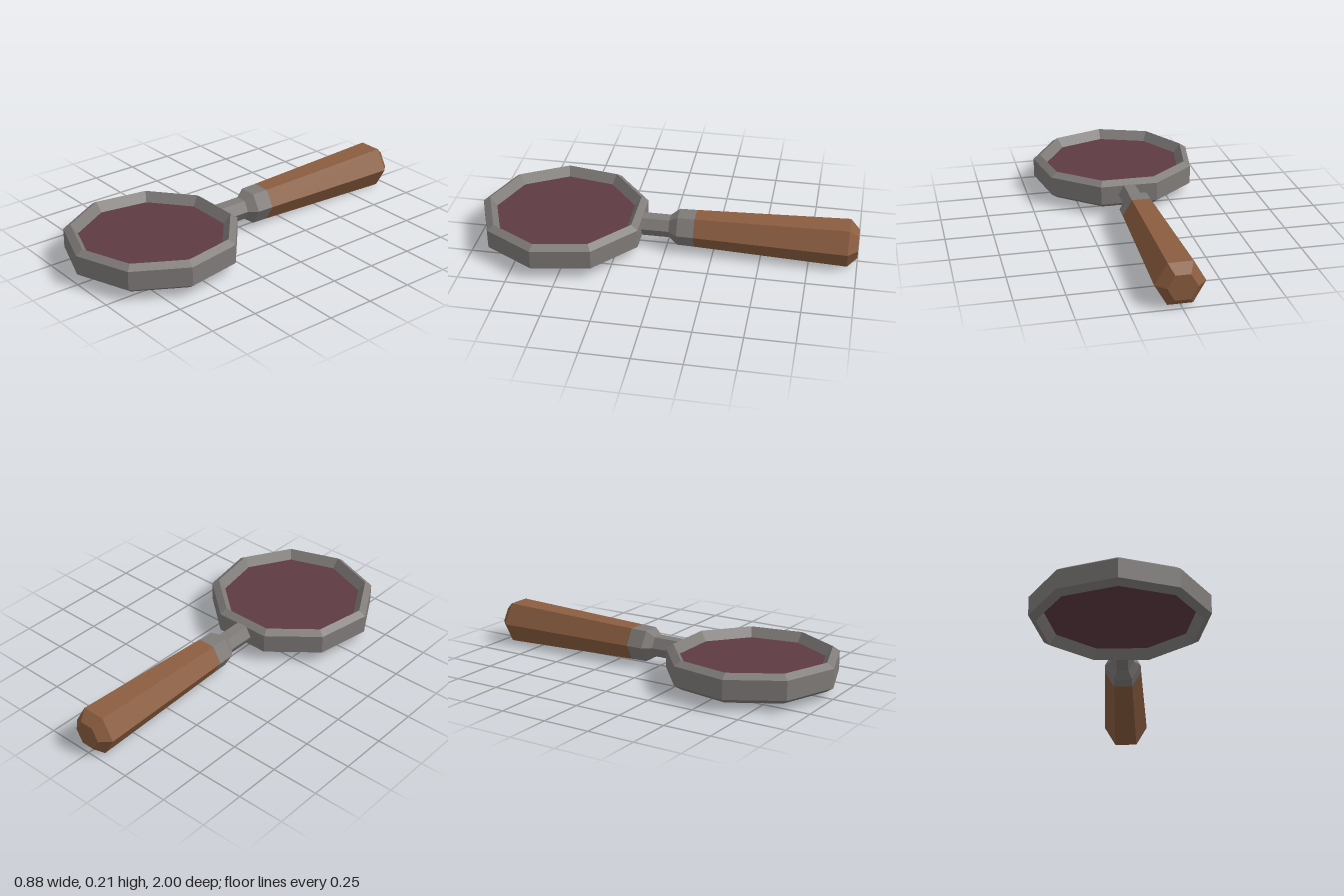
import * as THREE from 'three';

const MID_Y = 0.108; // height of the model's middle plane
const LENS_Z = 0.552; // centre of the lens

const paint = (color) => new THREE.MeshStandardMaterial({ color, flatShading: true });

function lathe(name, profile, sides, phiStart, material) {
  const points = profile.map(([r, h]) => new THREE.Vector2(r, h));
  const mesh = new THREE.Mesh(new THREE.LatheGeometry(points, sides, phiStart), material);
  mesh.name = name;
  return mesh;
}

export function createModel() {
  const model = new THREE.Group();
  model.name = 'magnifyingGlass';
  const metal = paint(0x7f7b79);
  const wood = paint(0x8b5d3f);
  const glass = paint(0x5f3a42);

  // Nine-sided frame, bevelled to a ridge on both faces
  const frame = lathe('lensFrame', [
    [0.375, -0.025], [0.411, -0.075], [0.448, -0.05], [0.448, 0.05],
    [0.411, 0.075], [0.375, 0.025], [0.375, -0.025],
  ], 9, 0, metal);
  frame.position.set(0, MID_Y, LENS_Z);

  // Lens pane recessed inside the frame
  const lens = new THREE.Mesh(new THREE.CylinderGeometry(0.376, 0.376, 0.05, 9), glass);
  lens.name = 'lens';
  lens.position.copy(frame.position);
  model.add(frame, lens);

  // Six-sided handle parts, with profiles given as [radius, z]
  const handleParts = [
    ['handleGrip', [[0, -1], [0.074, -1], [0.124, -0.95], [0.097, -0.15], [0, -0.15]], wood],
    ['ferruleAndNeck', [[0, -0.15], [0.097, -0.15], [0.095, -0.06], [0.06, -0.015], [0.06, 0.16], [0, 0.16]], metal],
  ];
  for (const [name, profile, material] of handleParts) {
    const part = lathe(name, profile, 6, Math.PI / 6, material);
    part.rotation.x = Math.PI / 2;
    part.position.y = MID_Y;
    model.add(part);
  }
  return model;
}
